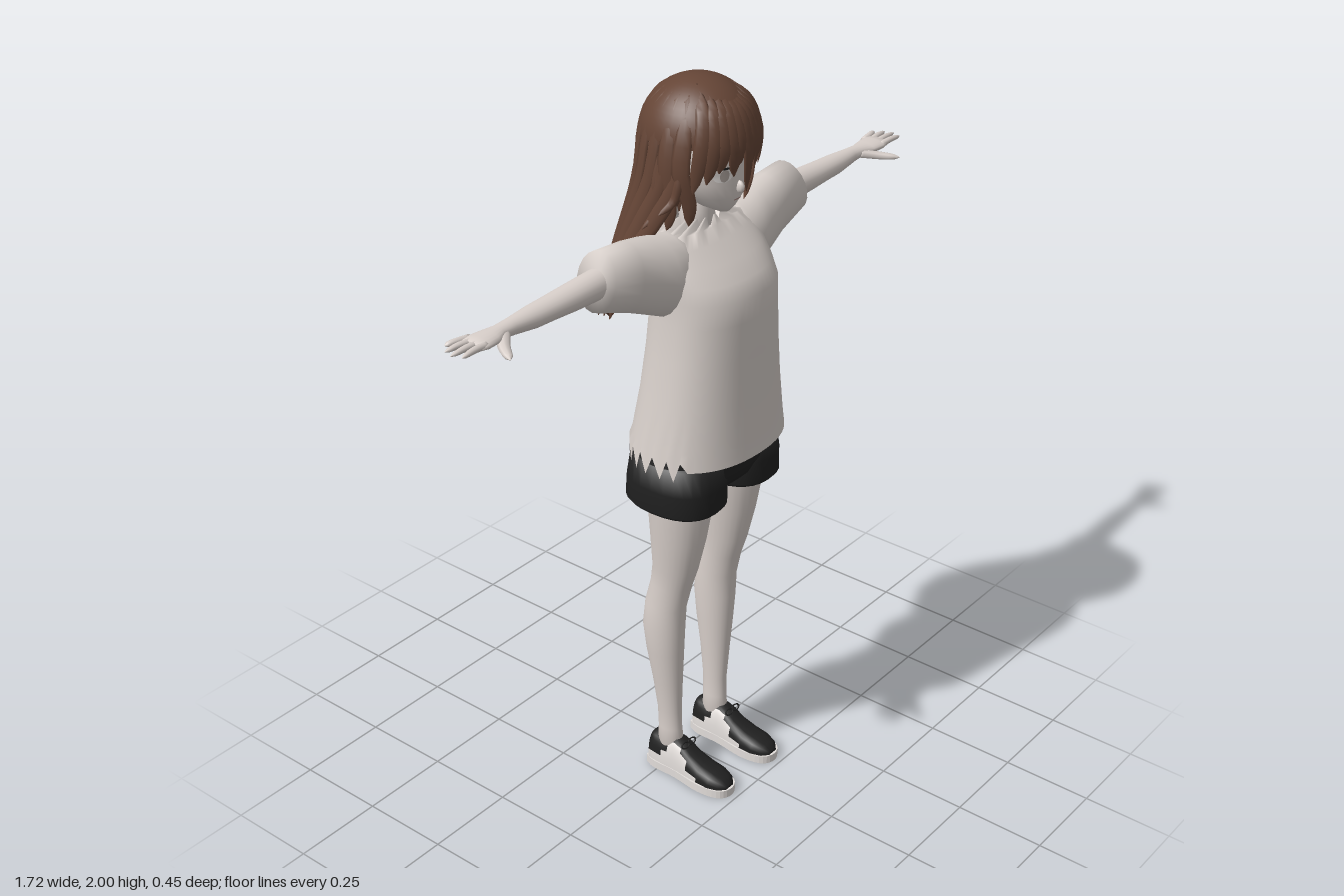
import * as THREE from 'three';

const V = (x, y, z) => new THREE.Vector3(x, y, z);
const mat = (name, color, side = THREE.FrontSide) => {
  const m = new THREE.MeshStandardMaterial({ color, side });
  m.name = name;
  return m;
};
const pw = (v, p) => Math.sign(v) * Math.abs(v) ** p;

// Interpolate a table of rows keyed by their first number (descending)
function rowAt(rows, y) {
  let i = 0;
  while (i < rows.length - 2 && y < rows[i + 1][0]) i++;
  const k = THREE.MathUtils.clamp((y - rows[i][0]) / (rows[i + 1][0] - rows[i][0]), 0, 1);
  return rows[i].map((a, j) => a + (rows[i + 1][j] - a) * k);
}

// Smooth skin over rings of points; pick() chooses a material index per quad
function loft(rings, capA = true, capB = true, pick = () => 0) {
  const n = rings[0].length, pts = rings.flat(), sets = [[], []];
  for (let r = 0; r < rings.length - 1; r++) for (let i = 0; i < n; i++) {
    const a = r * n + i, b = r * n + (i + 1) % n;
    sets[pick(r, i)].push(a, b, b + n, a, b + n, a + n);
  }
  const cap = (r, flip) => {
    const c = V(0, 0, 0);
    rings[r].forEach(p => c.addScaledVector(p, 1 / n));
    const k = pts.push(c) - 1;
    for (let i = 0; i < n; i++) {
      const a = r * n + i, b = r * n + (i + 1) % n;
      sets[0].push(k, ...(flip ? [b, a] : [a, b]));
    }
  };
  if (capA) cap(0, true);
  if (capB) cap(rings.length - 1, false);
  const mid = V(0, 0, 0);
  pts.forEach(p => mid.addScaledVector(p, 1 / pts.length));
  const idx = [...sets[0], ...sets[1]];
  let vol = 0;
  for (let i = 0; i < idx.length; i += 3) {
    const [a, b, c] = [0, 1, 2].map(j => pts[idx[i + j]].clone().sub(mid));
    vol += a.dot(b.cross(c));
  }
  if (vol < 0) idx.reverse();
  const g = new THREE.BufferGeometry().setFromPoints(pts);
  g.setIndex(idx);
  if (sets[1].length) {
    const [m, k] = [sets[0].length, sets[1].length];
    g.addGroup(vol < 0 ? k : 0, m, 0);
    g.addGroup(vol < 0 ? 0 : m, k, 1);
  }
  g.computeVertexNormals();
  return g;
}

const angles = n => Array.from({ length: n }, (_, i) => i / n * Math.PI * 2);
const ringY = (y, cz, rx, rz, cx = 0, n = 28, p = 1) =>
  angles(n).map(a => V(cx + rx * pw(Math.sin(a), p), y, cz + rz * pw(Math.cos(a), p)));
const ringX = (s, x, y, z, ry, rz, tilt = 0, n = 20) =>
  angles(n).map(a => V(s * (x - tilt * Math.sin(a)), y + ry * Math.sin(a), z + rz * Math.cos(a)));

// Tapered, flattened strand along a curve, used for hair locks and fingers
function strand(points, w, th, normalAt, profile, steps = 12, n = 8) {
  const curve = new THREE.CatmullRomCurve3(points), rings = [];
  for (let i = 0; i <= steps; i++) {
    const t = i / steps, c = curve.getPoint(t), T = curve.getTangent(t);
    const side = T.clone().cross(normalAt(c)).normalize(), out = side.clone().cross(T), k = profile(t);
    rings.push(angles(n).map(a => c.clone()
      .addScaledVector(side, w * k * Math.cos(a)).addScaledVector(out, th * k * Math.sin(a))));
  }
  return loft(rings);
}

export function createModel() {
  const root = new THREE.Group();
  const skin = mat('skin', 0xd9d0cb), cloth = mat('shirt cloth', 0xd7cfca, THREE.DoubleSide);
  const hair = mat('brown hair', 0x654536, THREE.DoubleSide), black = mat('black cloth', 0x202020, THREE.DoubleSide);
  const white = mat('white trim', 0xe2ddda), iris = mat('iris', 0xaaa09a), lip = mat('lip', 0xb08f88);
  const add = (name, g, m) => {
    const mesh = new THREE.Mesh(g, m);
    mesh.name = name;
    root.add(mesh);
  };

  // Head and neck: rows are y, centre z, half width, half depth
  const face = [[1.97, .035, .05, .05], [1.94, .035, .09, .095], [1.88, .038, .115, .124], [1.82, .043, .115, .119],
    [1.76, .055, .103, .103], [1.72, .07, .08, .085], [1.69, .09, .045, .05], [1.673, .108, .014, .018]];
  add('head', loft(face.map(r => ringY(...r))), skin);
  add('neck', loft([[1.74, .035, .042, .042], [1.66, .032, .04, .042], [1.58, .025, .06, .05]].map(r => ringY(...r))), skin);
  const nose = new THREE.SphereGeometry(1, 10, 8).scale(.008, .016, .014);
  add('nose', nose.translate(0, 1.745, .159), skin);

  // Thin plates wrapped onto the face
  const faceZ = (x, y) => {
    const [, cz, rx, rz] = rowAt(face, y);
    return cz + rz * Math.sqrt(Math.max(0, 1 - (x / rx) ** 2));
  };
  const plate = (name, x, y, w, h, lift, m) => {
    const g = new THREE.CircleGeometry(1, 20).scale(w, h, 1), p = g.attributes.position;
    for (let i = 0; i < p.count; i++) {
      const px = x + p.getX(i), py = y + p.getY(i);
      p.setXYZ(i, px, py, faceZ(px, py) + lift);
    }
    g.computeVertexNormals();
    add(name, g, m);
  };
  for (const s of [1, -1]) {
    plate('eyeWhite', s * .05, 1.785, .023, .018, .003, white);
    plate('iris', s * .049, 1.785, .011, .016, .005, iris);
    plate('lash', s * .052, 1.804, .026, .003, .006, black);
  }
  plate('mouth', 0, 1.713, .014, .0025, .003, lip);

  // Hair crown and the long sheet at the back
  const crown = new THREE.SphereGeometry(1, 40, 14, 0, Math.PI * 2, 0, Math.PI * .5);
  add('hairCrown', crown.scale(.141, .14, .148).translate(0, 1.86, .035), hair);
  const mane = [[1.99, .035, .045, .048], [1.96, .035, .094, .1], [1.92, .035, .122, .13], [1.87, .035, .138, .146],
    [1.75, .028, .15, .15], [1.62, 0, .165, .155], [1.5, -.035, .19, .156], [1.34, -.069, .208, .157]];
  const manePoint = (u, y, inset = 0) => {
    const [, cz, rx, rz] = rowAt(mane, y);
    const phi = u * THREE.MathUtils.lerp(1.35, 1.95, THREE.MathUtils.clamp((y - 1.55) / .25, 0, 1));
    return V((rx - inset) * Math.sin(phi), y, cz - (rz - inset) * Math.cos(phi));
  };
  const maneRows = [1.88, 1.8, 1.7, 1.6, 1.5, 1.4].map(y => {
    const us = Array.from({ length: 25 }, (_, i) => i / 12 - 1);
    return [...us.map(u => manePoint(u, y)), ...us.reverse().map(u => manePoint(u, y, .012))];
  });
  add('hairBack', loft(maneRows), hair);
  const outward = c => V(c.x, 0, c.z - .03).normalize();
  const spread = t => (.4 + .8 * t) * Math.sqrt(Math.max(.004, 1 - t ** 7));
  for (let i = 0; i < 15; i++) {
    const u = i / 7 - 1, end = 1.34 + .05 * u * u + (i % 3) * .01;
    const ys = [1.985, 1.96, 1.92, 1.86, ...[.2, .4, .6, .8, 1].map(t => 1.86 + (end - 1.86) * t)];
    add('hairBackLock', strand(ys.map(y => manePoint(u, y, .004)), .027, .013, outward, spread, 22), hair);
  }

  // Fringe locks: root x, tip x, tip y
  const fringe = [[-.1, -.122, 1.75], [-.08, -.1, 1.775], [-.06, -.075, 1.8], [-.04, -.037, 1.785], [-.02, -.028, 1.805],
    [0, .006, 1.735], [.02, .022, 1.795], [.04, .045, 1.79], [.06, .075, 1.8], [.08, .1, 1.77], [.1, .122, 1.75]];
  const shell = (x, y, r) => .035 + r * Math.sqrt(Math.max(.02, 1 - (x / .146) ** 2 - (Math.max(0, y - 1.86) / .14) ** 2));
  for (const [x, tx, ty] of fringe) {
    const pts = [V(x * .45, 1.985, .055), V(x * .85, 1.945, shell(x * .85, 1.945, .146)),
      V(x * 1.1, 1.87, shell(x * 1.1, 1.87, .148)), V(tx, ty, shell(tx, ty, .14))];
    add('fringeLock', strand(pts, .021, .007, outward, t => (.5 + t) * Math.sqrt(Math.max(.003, 1 - t ** 2.5))), hair);
  }
  // Side locks with flicked tips
  for (const s of [1, -1]) {
    const sides = [[[.08, 1.965, .07], [.122, 1.9, .09], [.138, 1.8, .09], [.118, 1.72, .1], [.108, 1.66, .09]],
      [[.085, 1.965, .045], [.128, 1.9, .05], [.145, 1.8, .05], [.135, 1.7, .055], [.125, 1.64, .035]],
      [[.12, 1.9, .08], [.14, 1.78, .085], [.15, 1.73, .075], [.185, 1.705, .06]],
      [[.125, 1.9, .03], [.148, 1.76, .02], [.15, 1.69, .02], [.175, 1.65, 0]]];
    sides.forEach((p, i) => add('sideLock', strand(p.map(([x, y, z]) => V(s * x, y, z)),
      i < 2 ? .024 : .012, .008, outward, t => (.5 + .5 * Math.min(1, t * 2.5)) * Math.sqrt(Math.max(.003, 1 - t ** 3))), hair));
  }

  // Shirt: torn hem around the back and sides, torn neckline
  const N = 60;
  const shirt = [[1.04, .065, .223, .169], [1.09, .067, .215, .163], [1.2, .074, .198, .151], [1.32, .08, .183, .143],
    [1.42, .084, .174, .139], [1.48, .085, .174, .135], [1.52, .075, .175, .122], [1.56, .058, .178, .103],
    [1.6, .04, .175, .08], [1.628, .03, .145, .062], [1.64, .03, .066, .05]].map(r => ringY(...r, 0, N, .88));
  shirt[0].forEach((p, i) => { if (p.z < .15) p.y += i % 2 ? .025 : -.03; });
  shirt.at(-1).forEach((p, i) => { p.y += i % 4 < 2 ? .012 : -.012; });
  add('shirtBody', loft(shirt, false, false), cloth);

  for (const s of [1, -1]) {
    // Sleeve, arm and hand
    add('sleeve', loft([[.06, 1.55, .035, .08, .07], [.13, 1.538, .038, .098, .084], [.17, 1.536, .038, .106, .084],
      [.21, 1.55, .035, .1, .076, .005], [.28, 1.572, .031, .088, .066, .012], [.376, 1.594, .03, .073, .06, .018]]
      .map(r => ringX(s, ...r))), cloth);
    add('arm', loft([[.22, 1.585, .027, .045, .042], [.36, 1.585, .025, .038, .038], [.46, 1.583, .023, .033, .037],
      [.53, 1.582, .021, .029, .034], [.59, 1.582, .021, .027, .031], [.66, 1.585, .022, .02, .023],
      [.7, 1.587, .023, .016, .022], [.73, 1.588, .026, .015, .032], [.765, 1.589, .026, .014, .037],
      [.79, 1.59, .026, .01, .034]].map(r => ringX(s, ...r))), skin);
    const fingers = [[.83, -.016, -.004], [.852, .006, .014], [.86, .031, .032], [.85, .056, .05]];
    const up = () => V(0, 1, 0), round = t => Math.sqrt(Math.max(.01, 1 - t ** 6)) * (1 - .25 * t);
    for (const [x, z, z0] of fingers)
      add('finger', strand([V(s * .765, 1.59, z0), V(s * .81, 1.594, (z + z0) / 2), V(s * x, 1.592, z)], .0095, .009, up, round, 8), skin);
    add('thumb', strand([V(s * .69, 1.585, .028), V(s * .73, 1.576, .068), V(s * .762, 1.572, .117)], .017, .012, up, round, 8), skin);

    // Leg: y, centre z, half width, half depth, centre x
    const standing = ([y, z, w, d, x]) => ringY(y, z, w, d, s * x, 28);
    add('leg', loft([[1, .06, .085, .095, .106], [.9, .062, .08, .092, .106], [.78, .054, .066, .079, .106],
      [.68, .044, .054, .065, .106], [.62, .03, .047, .06, .106], [.55, .013, .048, .06, .109], [.48, .007, .049, .062, .11],
      [.4, .009, .045, .055, .108], [.3, .014, .036, .044, .104], [.2, .017, .028, .036, .1], [.14, .018, .027, .036, .099],
      [.07, .02, .03, .04, .098]].map(standing)), skin);
    add('shortsLeg', loft([[1.03, .055, .1, .125, .108], [.96, .054, .107, .134, .11], [.9, .052, .107, .136, .111],
      [.89, .052, .1, .128, .111]].map(([y, z, w, d, x]) => ringY(y, z, w, d, s * x, 28, .85))), black);

    // Shoe upper, sections along z: z, half width, height; pale panels at the side and heel
    const zs = [[-.042, .022, .05], [-.036, .033, .078], [-.018, .037, .084], [.01, .038, .08], [.03, .038, .084],
      [.05, .038, .092], [.075, .039, .082], [.1, .041, .062], [.14, .044, .044], [.18, .044, .036], [.21, .034, .027], [.226, .016, .012]];
    const shoe = zs.map(([z, w, h]) => angles(24).map(a =>
      V(s * .098 + w * pw(Math.cos(a), .7), .022 + h * Math.max(0, pw(Math.sin(a), .8)), z)));
    const reach = [1, 1, 1, 2, 4, 4, 3, 1, 0, 0, 0];
    const panel = (r, i) => (Math.min(i, 11 - i) < reach[r] && i < 12 ? 1 : 0);
    add('shoeUpper', loft(shoe, true, true, panel), [black, white]);
    const outline = new THREE.Shape(new THREE.SplineCurve([[-.03, -.045], [.03, -.045], [.041, -.01], [.04, .06], [.049, .15],
      [.036, .213], [0, .233], [-.036, .213], [-.049, .15], [-.04, .06], [-.041, -.01], [-.03, -.045]]
      .map(([x, z]) => new THREE.Vector2(x, -z))).getPoints(48));
    const sole = new THREE.ExtrudeGeometry(outline, { depth: .024, bevelEnabled: false });
    add('sole', sole.rotateX(-Math.PI / 2).translate(s * .098, 0, 0), white);
    for (const k of [1, -1]) {
      const loop = new THREE.TorusGeometry(.011, .0025, 6, 14).scale(1.3, .7, 1).rotateX(-.7);
      add('laceLoop', loop.translate(s * .098 + k * .014, .105, .082), black);
    }
  }
  // Shorts seat
  add('shortsSeat', loft([[1.12, .06, .17, .12], [1.05, .055, .205, .13], [.98, .054, .212, .132], [.94, .053, .17, .115],
    [.92, .053, .08, .09]].map(r => ringY(...r, 0, 36, .88))), black);
  return root;
}
